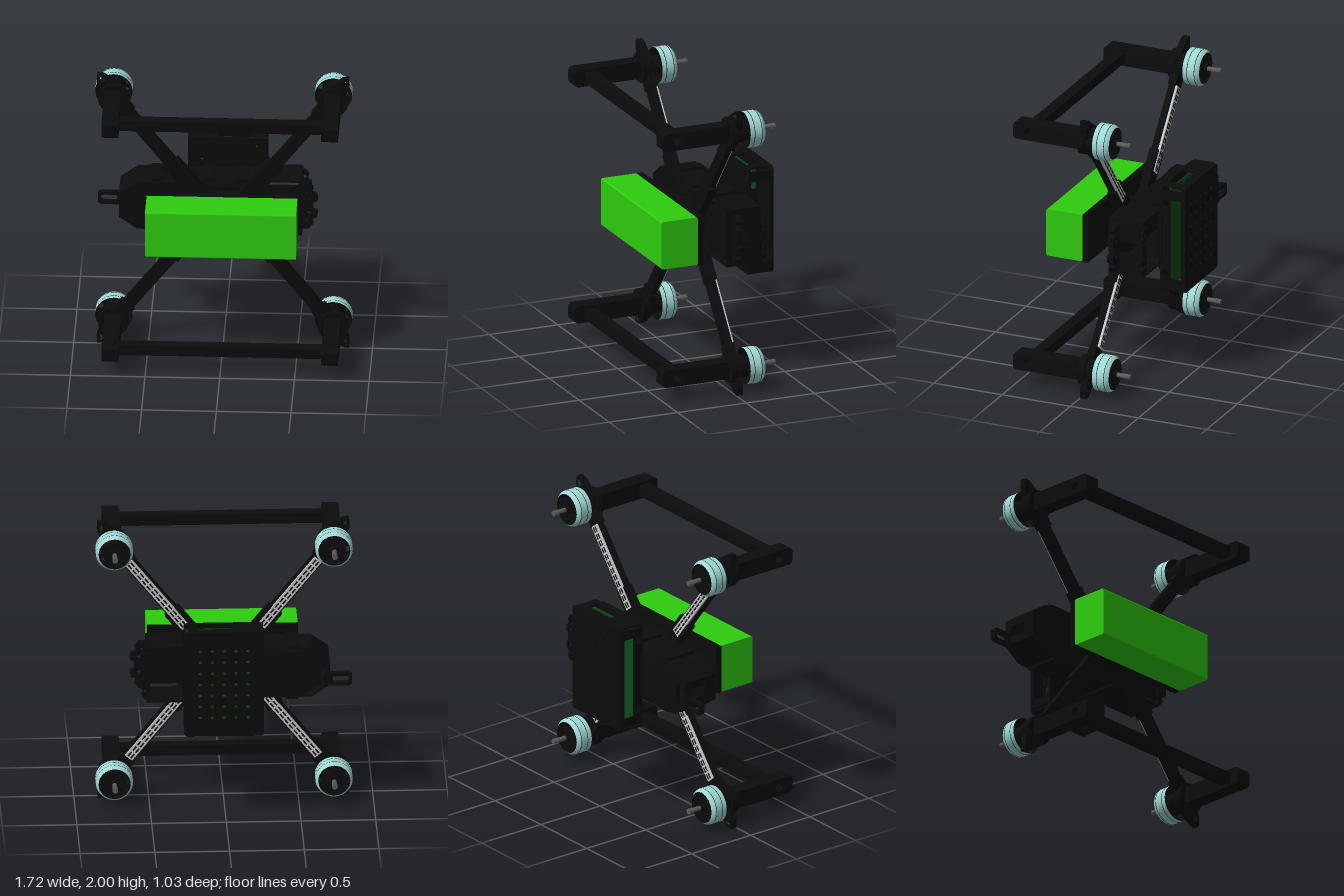
import * as THREE from 'three';

const mat = (name, color) => {
  const m = new THREE.MeshStandardMaterial({ color });
  m.name = name;
  return m;
};

export function createModel() {
  const black = mat('black', 0x0c0c0c), green = mat('battery green', 0x2ecc0f);
  const cyan = mat('pale cyan', 0xa0d8d4), grey = mat('shaft grey', 0x5c5c5c);
  const light = mat('strip light grey', 0xc8c8c8), pcb = mat('board green', 0x0c4a16);
  const model = new THREE.Group();
  model.name = 'quadcopter';
  const CY = 1; // height of the symmetry plane

  const add = (name, geo, m, parent = model) => {
    const mesh = new THREE.Mesh(geo, m);
    mesh.name = name;
    parent.add(mesh);
    return mesh;
  };
  // box given by its extents
  const box = (name, m, x0, x1, y0, y1, z0, z1, parent) => {
    const g = new THREE.BoxGeometry(x1 - x0, y1 - y0, z1 - z0);
    g.translate((x0 + x1) / 2, (y0 + y1) / 2, (z0 + z1) / 2);
    return add(name, g, m, parent);
  };
  const poly = pts => new THREE.Shape(pts.map(p => new THREE.Vector2(...p)));
  const rounded = (x0, x1, y0, y1, r, Type = THREE.Shape) => {
    const s = new Type();
    s.absarc(x1 - r, y1 - r, r, 0, Math.PI / 2);
    s.absarc(x0 + r, y1 - r, r, Math.PI / 2, Math.PI);
    s.absarc(x0 + r, y0 + r, r, Math.PI, Math.PI * 1.5);
    s.absarc(x1 - r, y0 + r, r, Math.PI * 1.5, Math.PI * 2);
    s.closePath();
    return s;
  };
  const circle = (x, y, r) => new THREE.Path().absarc(x, y, r, 0, Math.PI * 2);
  // extrusions along z, x (shape drawn in -z,y) and y (shape drawn in x,-z)
  const alongZ = (shape, z0, z1) =>
    new THREE.ExtrudeGeometry(shape, { depth: z1 - z0, bevelEnabled: false, curveSegments: 8 }).translate(0, 0, z0);
  const alongX = (shape, x0, x1) => alongZ(shape, x0, x1).rotateY(Math.PI / 2);
  const alongY = (shape, y0, y1) => alongZ(shape, y0, y1).rotateX(-Math.PI / 2);

  // Battery and its pad
  add('battery', alongX(rounded(-0.4, -0.135, 0.84, 1.175, 0.012), -0.505, 0.505), green);
  box('batteryPad', black, -0.505, 0.505, 0.835, 1.175, 0.095, 0.135);

  // Centre block with a slanted front
  box('centrePlate', black, -0.16, 0.16, 0.88, 1.12, -0.07, 0.02);
  add('centreWedge', alongY(poly([[-0.09, 0.02], [0.09, 0.02], [0.09, -0.045], [-0.03, -0.08], [-0.09, -0.08]]), 0.9, 1.11), black);

  // Hollow body: floor, and walls in three layers with a window at both ends
  add('bodyFloor', alongZ(poly([[0.5, 0.84], [0.5, 1.165], [-0.57, 1.165], [-0.69, 1.08], [-0.69, 0.92], [-0.57, 0.84]]), -0.085, -0.065), black);
  for (const s of [1, -1]) {
    for (const [z0, z1, gap] of [[-0.15, -0.065, 0], [-0.27, -0.15, 0.038], [-0.32, -0.27, 0]]) {
      const wall = [[0.525, gap], [0.525, 0.2], [0.28, 0.2], [0.25, 0.175], [-0.58, 0.175], [-0.7, 0.09], [-0.7, gap],
        [-0.68, gap], [-0.68, 0.08], [-0.57, 0.16], [0.255, 0.16], [0.285, 0.19], [0.513, 0.19], [0.513, gap]];
      add('bodyWall', alongZ(poly(wall.map(([x, y]) => [x, CY + s * y])), z0, z1), black);
    }
    // clips on the body sides
    for (const x of [-0.45, -0.1, 0.12])
      box('bodyClip', black, x - 0.04, x + 0.04, CY + s * 0.18 - 0.015, CY + s * 0.18 + 0.015, -0.31, -0.08);
  }
  add('backCover', alongZ(poly([[0.29, 0.84], [0.29, 1.165], [-0.52, 1.165], [-0.64, 1.07], [-0.64, 0.93], [-0.52, 0.84]]), -0.35, -0.32), black);

  // Claw brackets on the camera end
  const claw = reach => {
    const half = [[0, 0.165], [0.07, 0.165], [0.1, 0.13], [0.085, 0.11], [0.1, 0.09], [0.125, 0.085], [0.13, 0.04], [0.1, 0.03]];
    const pts = half.map(([x, y]) => [0.5 + x * reach, CY + y]);
    const s = poly([...pts, ...pts.slice().reverse().map(([x, y]) => [x, 2 * CY - y])]);
    for (const k of [1, -1]) {
      s.holes.push(circle(0.5 + 0.05 * reach, CY + k * 0.11, 0.014));
      s.holes.push(circle(0.5 + 0.07 * reach, CY + k * 0.055, 0.016));
    }
    return s;
  };
  add('cameraBracket', alongZ(claw(1), -0.145, -0.1), black);
  add('cameraBracketBack', alongZ(claw(0.62), -0.335, -0.32), black);

  // Antenna hook
  const hook = rounded(-0.85, -0.66, 0.9, 0.99, 0.025);
  hook.holes.push(rounded(-0.83, -0.72, 0.92, 0.97, 0.015, THREE.Path));
  add('hook', alongZ(hook, -0.315, -0.275), black);

  // Electronics case on the back
  const backFace = rounded(-0.25, 0.28, 0.63, 1.38, 0.025);
  for (let i = 0; i < 5; i++)
    for (let j = 0; j < 7; j++) backFace.holes.push(circle(-0.145 + i * 0.08, 0.76 + j * 0.08, 0.014));
  add('caseBack', alongZ(backFace, -0.515, -0.49), black);
  const frontFace = rounded(-0.25, 0.28, 0.63, 1.38, 0.025);
  for (const [x, y] of [[0.21, 1.32], [0.21, 0.69], [-0.155, 1.22]]) frontFace.holes.push(circle(x, y, 0.009));
  add('caseFront', alongZ(frontFace, -0.35, -0.335), black);
  for (const [x0, x1] of [[-0.25, -0.235], [0.265, 0.28]]) {
    const side = rounded(0.345, 0.495, 0.655, 1.355, 0.004);
    side.holes.push(rounded(0.402, 0.488, 0.715, 1.29, 0.008, THREE.Path));
    for (const y of [0.735, 1.235]) side.holes.push(rounded(0.352, 0.392, y, y + 0.05, 0.015, THREE.Path));
    add('caseSide', alongX(side, x0, x1), black);
  }
  for (const [y0, y1] of [[0.63, 0.645], [1.365, 1.38]]) {
    const end = rounded(-0.25, 0.255, 0.345, 0.495, 0.004);
    end.holes.push(rounded(-0.05, 0.19, 0.355, 0.45, 0.012, THREE.Path));
    end.holes.push(circle(-0.085, 0.473, 0.011));
    add('caseEnd', alongY(end, y0, y1), black);
  }
  box('circuitBoard', pcb, -0.235, 0.265, 0.65, 1.36, -0.398, -0.391);

  // Motor end cap with a ring of arc slots and bolt holes
  const cap = new THREE.Shape().absarc(0, 0, 0.108, 0, Math.PI * 2);
  for (let i = 0; i < 9; i++) {
    const a = (i / 9) * Math.PI * 2, slot = new THREE.Path();
    slot.absarc(0, 0, 0.101, a, a + 0.42, false);
    slot.absarc(0, 0, 0.078, a + 0.42, a, true);
    slot.closePath();
    cap.holes.push(slot);
    if (i % 2) cap.holes.push(circle(0.05 * Math.cos(a), 0.05 * Math.sin(a), 0.009));
  }
  const lathe = pts => new THREE.LatheGeometry(pts.map(p => new THREE.Vector2(...p)), 40).rotateX(-Math.PI / 2);
  const disc = (r, z0, z1, n = 32) =>
    new THREE.CylinderGeometry(r, r, z1 - z0, n).rotateX(Math.PI / 2).translate(0, 0, (z0 + z1) / 2);

  const MX = 0.735, MY = 0.833;
  for (const sy of [1, -1]) {
    for (const sx of [1, -1]) {
      const corner = new THREE.Group();
      corner.name = 'rotorCorner';
      corner.position.set(sx * MX, CY + sy * MY, 0);
      model.add(corner);

      // Motor
      add('motorMount', disc(0.103, -0.025, 0.028, 16), black, corner);
      add('motorCollar', disc(0.085, -0.07, -0.02), black, corner);
      add('motorStator', disc(0.07, -0.2, -0.06), black, corner);
      add('motorBell', lathe([[0.125, 0.095], [0.125, 0.125]]), cyan, corner);
      add('motorBell', lathe([[0.125, 0.129], [0.125, 0.178]]), cyan, corner);
      add('motorBevel', lathe([[0.125, 0.182], [0.122, 0.194], [0.107, 0.21]]), cyan, corner);
      for (const y of [0.125, 0.178]) add('motorGroove', lathe([[0.1245, y], [0.1245, y + 0.004]]), black, corner);
      add('motorLining', lathe([[0.104, 0.207], [0.116, 0.19], [0.116, 0.095], [0.125, 0.095]]), black, corner);
      add('motorCap', alongZ(cap, -0.21, -0.2), black, corner);
      add('hub', disc(0.03, -0.225, -0.205, 20), black, corner);
      add('shaft', disc(0.016, -0.325, -0.215, 16), grey, corner);
      for (const z of [-0.32, -0.305, -0.29]) add('shaftThread', disc(0.019, z - 0.004, z + 0.004, 16), grey, corner);

      // Pointed guard outside the motor
      const toCorner = ([x, y]) => [sx * (x - MX), sy * (y - MY)];
      const guard = poly([[0.65, 0.8], [0.66, 0.9], [0.75, 0.96], [0.8, 0.995], [0.842, 1], [0.846, 0.94], [0.825, 0.88], [0.79, 0.8]].map(toCorner));
      guard.holes.push(poly([[0.785, 0.958], [0.822, 0.982], [0.826, 0.93]].map(toCorner)));
      add('guard', alongZ(guard, -0.045, 0), black, corner);

      // Landing leg with a cross hole
      const leg = rounded(-0.515, 0, -0.06, 0.06, 0.028);
      leg.holes.push(circle(-0.405, 0, 0.03));
      add('leg', alongX(leg, -0.056, 0.056), black, corner);

      // Arm with a light strip, running from the motor to the centre
      const arm = new THREE.Group();
      arm.name = 'arm';
      arm.rotation.z = Math.atan2(-sy * 0.6, -sx * 0.481);
      corner.add(arm);
      box('armBeam', black, 0, 1.0, -0.042, 0.042, -0.045, 0, arm);
      box('armRoot', black, 0.62, 0.95, -0.057, 0.057, -0.055, 0.004, arm);
      box('armTip', black, 0.03, 0.16, -0.055, 0.055, -0.05, 0.004, arm);
      box('lightStrip', light, 0.16, 0.77, -0.03, 0.03, -0.06, -0.045, arm);
      for (const row of [-0.012, 0.012])
        for (let i = 0; i < 12; i++)
          box('stripChip', black, 0.17 + i * 0.05, 0.207 + i * 0.05, row - 0.005, row + 0.005, -0.063, -0.059, arm);
    }
    // Bar joining the two legs
    box('crossBar', black, -0.69, 0.69, CY + sy * 0.835 - 0.036, CY + sy * 0.835 + 0.036, 0.36, 0.44);
  }
  return model;
}
